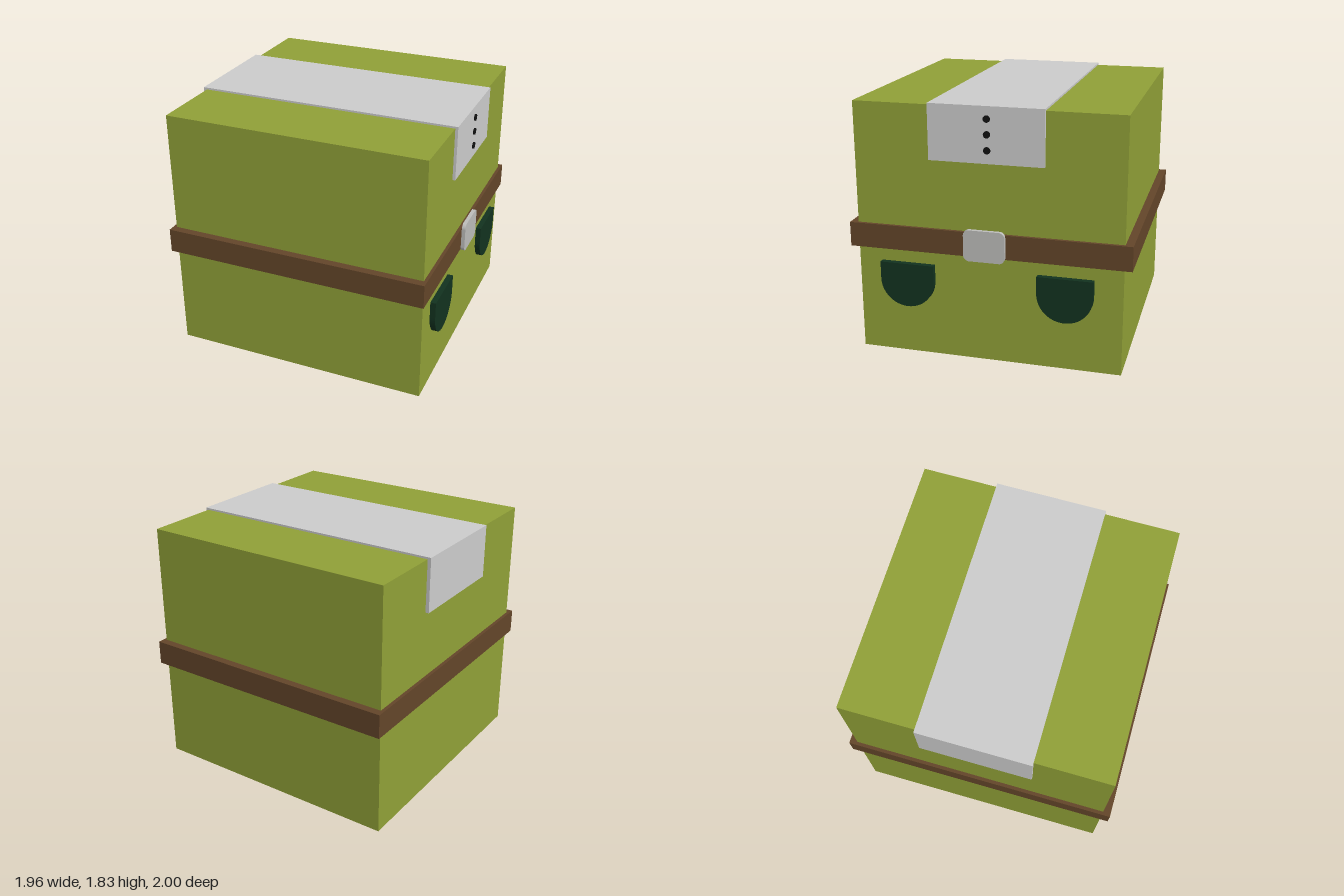
import * as THREE from 'three';

const material = (color) => new THREE.MeshStandardMaterial({ color });

// Rectangle outline from two opposite corners, optionally with rounded corners
function rect(path, x0, y0, x1, y1, r = 0) {
  if (!r) {
    path.moveTo(x0, y0).lineTo(x1, y0).lineTo(x1, y1).lineTo(x0, y1).closePath();
    return path;
  }
  path.absarc(x1 - r, y0 + r, r, -Math.PI / 2, 0);
  path.absarc(x1 - r, y1 - r, r, 0, Math.PI / 2);
  path.absarc(x0 + r, y1 - r, r, Math.PI / 2, Math.PI);
  path.absarc(x0 + r, y0 + r, r, Math.PI, Math.PI * 1.5);
  path.closePath();
  return path;
}

const extrude = (shape, depth) =>
  new THREE.ExtrudeGeometry(shape, { depth, bevelEnabled: false, curveSegments: 16 });

export function createModel() {
  const model = new THREE.Group();
  const add = (name, geometry, mat, x = 0, y = 0, z = 0) => {
    const mesh = new THREE.Mesh(geometry, mat);
    mesh.name = name;
    mesh.position.set(x, y, z);
    model.add(mesh);
    return mesh;
  };
  const olive = material(0x90a037);
  const leather = material(0x634529);
  const darkGreen = material(0x12321f);
  const grey = material(0xcccccc);
  const metal = material(0xbcbcba);
  const black = material(0x111111);

  // Box body
  add('body', new THREE.BoxGeometry(1.88, 1.816, 1.888), olive, -0.015, 0.908, 0);

  // Belt: a rectangular band around the body
  const band = rect(new THREE.Shape(), -0.98, -1, 0.948, 1);
  band.holes.push(rect(new THREE.Path(), -0.955, -0.944, 0.925, 0.944));
  add('belt', extrude(band, 0.175).rotateX(-Math.PI / 2), leather, 0, 0.775, 0);

  // Strap folded over the top and down both sides
  const fold = new THREE.Shape();
  [[-0.98, 1.44], [-0.955, 1.44], [-0.955, 1.816], [0.925, 1.816],
    [0.925, 1.44], [0.945, 1.44], [0.945, 1.83], [-0.98, 1.83]]
    .forEach(([x, y], i) => (i ? fold.lineTo(x, y) : fold.moveTo(x, y)));
  add('strap', extrude(fold, 0.804), grey, 0, 0, -0.402);

  // Buttons down the strap end
  for (const y of [1.745, 1.64, 1.532]) {
    add('button', new THREE.CylinderGeometry(0.024, 0.024, 0.02, 24).rotateZ(-Math.PI / 2),
      black, 0.945, y, -0.01);
  }

  // Rounded buckle plate on the belt
  const plate = rect(new THREE.Shape(), -0.146, -0.112, 0.146, 0.112, 0.04);
  add('buckle', extrude(plate, 0.027).rotateY(Math.PI / 2), metal, 0.948, 0.863, 0.013);

  // Pair of pockets with round bottoms
  const pocket = new THREE.Shape();
  pocket.moveTo(0.196, 0.124).lineTo(-0.196, 0.124).lineTo(-0.196, 0);
  pocket.absarc(0, 0, 0.196, Math.PI, Math.PI * 2);
  pocket.closePath();
  for (const z of [0.58, -0.549]) {
    add('pocket', extrude(pocket, 0.045).rotateY(Math.PI / 2), darkGreen, 0.92, 0.557, z);
  }

  return model;
}
